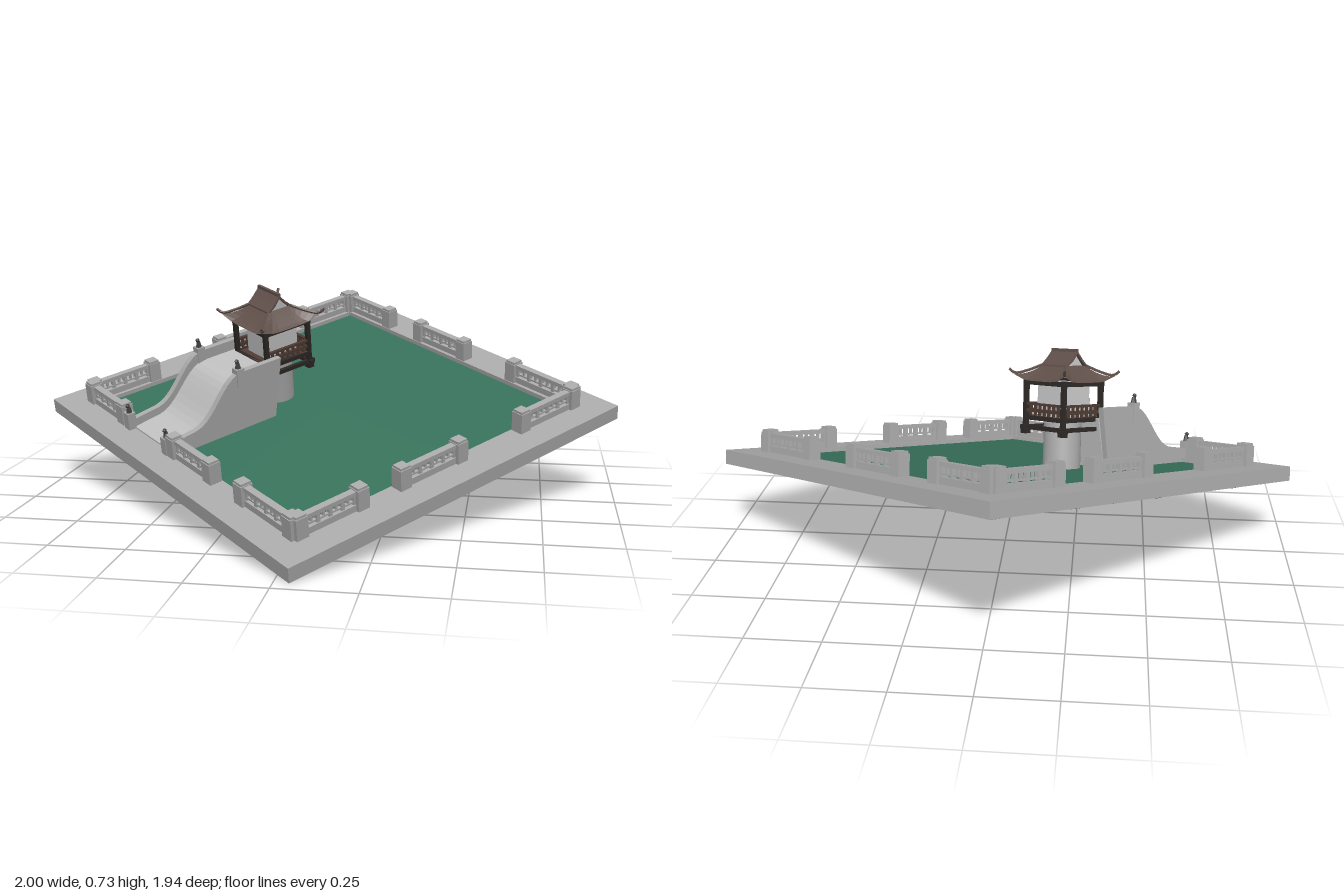
import * as THREE from 'three';

const mat = (name, color, side = THREE.FrontSide, flatShading = true) => {
  const m = new THREE.MeshStandardMaterial({ color, side, flatShading });
  m.name = name;
  return m;
};

export function createModel() {
  const stone = mat('stone', 0xa8a8a8, THREE.DoubleSide);
  const water = mat('water', 0x37705a, THREE.DoubleSide);
  const deckStone = mat('pale stone', 0xbcbcbc, THREE.DoubleSide, false);
  const wood = mat('dark wood', 0x2b2725);
  const railWood = mat('brown wood', 0x4d3a33);
  const tile = mat('roof tile', 0x62514b, THREE.DoubleSide);
  const plaster = mat('plaster', 0xc2c2c2);
  const figureStone = mat('dark stone', 0x45433f);

  const model = new THREE.Group();
  const site = new THREE.Group();
  site.name = 'tiltedGarden';
  site.rotation.set(0.276, -0.739, 0);
  site.position.y = 0.296;
  model.add(site);

  const add = (parent, name, geo, material, x = 0, y = 0, z = 0) => {
    const m = new THREE.Mesh(geo, material);
    m.name = name;
    m.position.set(x, y, z);
    parent.add(m);
    return m;
  };
  const box = (parent, name, material, w, h, d, x, y, z) =>
    add(parent, name, new THREE.BoxGeometry(w, h, d), material, x, y, z);
  const bend = (geo, rule) => {
    const p = geo.attributes.position, v = new THREE.Vector3();
    for (let i = 0; i < p.count; i++) {
      rule(v.fromBufferAttribute(p, i));
      p.setXYZ(i, v.x, v.y, v.z);
    }
    geo.computeVertexNormals();
    return geo;
  };

  // Square border, open underneath
  const R = 0.708, H = 0.575, q = Math.SQRT2;
  add(site, 'borderTop', new THREE.RingGeometry(H * q, R * q, 4, 1, Math.PI / 4).rotateX(-Math.PI / 2), stone, 0, 0.025);
  for (const [name, r] of [['borderOuterWall', R], ['borderInnerWall', H]])
    add(site, name, new THREE.CylinderGeometry(r * q, r * q, 0.05, 4, 1, true).rotateY(Math.PI / 4), stone);

  // Pond sheet with a wavy rim hidden below the border
  const wavySquare = v => {
    const r = Math.hypot(v.x, v.z);
    if (r < 0.01) return;
    const a = Math.atan2(v.z, v.x), c = Math.cos(a), s = Math.sin(a);
    const k = 0.655 / Math.max(Math.abs(c), Math.abs(s)) + 0.008 * Math.sin(23 * a) + 0.006 * Math.sin(37 * a + 1);
    v.x = c * k;
    v.z = s * k;
  };
  add(site, 'pondSurface', bend(new THREE.CircleGeometry(1, 128).rotateX(-Math.PI / 2), wavySquare), water, 0, 0.01);
  add(site, 'pondRim', bend(new THREE.CylinderGeometry(1, 1, 0.046, 128, 1, true), wavySquare), water, 0, -0.013);

  // Balustrades: two posts joined by a pierced panel
  const balustrade = (a, b, line, alongX) => {
    const g = new THREE.Group(), L = b - a;
    g.name = 'balustrade';
    for (const s of [-1, 1]) {
      box(g, 'balustradePost', stone, 0.044, 0.07, 0.044, s * (L / 2 - 0.012), 0.06, 0);
      box(g, 'postCap', stone, 0.038, 0.008, 0.038, s * (L / 2 - 0.012), 0.099, 0);
    }
    box(g, 'curb', stone, L, 0.022, 0.024, 0, 0.036, 0);
    box(g, 'handrail', stone, L, 0.014, 0.024, 0, 0.085, 0);
    box(g, 'midRail', stone, L, 0.006, 0.012, 0, 0.056, 0);
    for (let i = 0; i < 5; i++)
      box(g, 'baluster', stone, 0.012, 0.04, 0.016, (i / 4 - 0.5) * (L - 0.07), 0.062, 0);
    for (let i = 0; i < 4; i++)
      box(g, 'fretBar', stone, 0.007, 0.022, 0.01, ((i + 0.5) / 4 - 0.5) * (L - 0.07), 0.067, 0);
    const mid = (a + b) / 2;
    g.position.set(alongX ? mid : line, 0, alongX ? line : mid);
    if (!alongX) g.rotation.y = Math.PI / 2;
    site.add(g);
  };
  const E = 0.6;
  for (const [a, b] of [[-E, -0.34], [-0.2, 0.06], [0.34, E]]) balustrade(a, b, -E, false);
  for (const [a, b] of [[-E, -0.33], [-0.065, 0.2], [0.345, E]]) balustrade(a, b, E, false);
  for (const [a, b] of [[-E, -0.34], [-0.18, 0.08], [0.31, E]]) balustrade(a, b, -E, true);
  for (const [a, b] of [[-E, -0.36], [-0.06, 0.18], [0.33, E]]) balustrade(a, b, E, true);

  // Bridge: S-curved ramp between two solid parapets
  const bridge = new THREE.Group();
  bridge.name = 'bridge';
  bridge.position.x = -0.2;
  site.add(bridge);
  const profile = (end, low, high) => {
    const s = new THREE.Shape();
    s.moveTo(0.18, -0.005);
    s.lineTo(end, -0.005);
    s.lineTo(end, low);
    s.lineTo(0.5, low + 0.012);
    s.bezierCurveTo(0.42, low + 0.025, 0.38, high, 0.3, high);
    s.lineTo(0.14, high);
    s.closePath();
    return s;
  };
  const slab = (shape, width, x, name, material) => {
    const g = new THREE.ExtrudeGeometry(shape, { depth: width, bevelEnabled: false, curveSegments: 10 });
    add(bridge, name, g.translate(0, 0, -width / 2).rotateY(-Math.PI / 2), material, x);
  };
  slab(profile(0.6, 0.03, 0.185), 0.22, 0, 'bridgeDeck', deckStone);
  for (const s of [-1, 1]) {
    slab(profile(0.6, 0.058, 0.222), 0.022, s * 0.12, 'parapet', stone);
    // Parapet posts with small carved figures
    for (const [z, base, top] of [[0.61, 0.02, 0.085], [0.31, 0.17, 0.235]]) {
      box(bridge, 'parapetPost', stone, 0.03, top - base, 0.03, s * 0.12, (top + base) / 2, z);
      add(bridge, 'figureBody', new THREE.CylinderGeometry(0.006, 0.011, 0.02, 6), figureStone, s * 0.12, top + 0.01, z);
      add(bridge, 'figureHead', new THREE.IcosahedronGeometry(0.008, 0), figureStone, s * 0.12, top + 0.025, z + 0.003);
    }
  }

  // Pavilion on a round pillar
  const pav = new THREE.Group();
  pav.name = 'pavilion';
  pav.position.set(-0.2, 0, 0.08);
  site.add(pav);
  const pillarStone = mat('stone', 0xa8a8a8, THREE.FrontSide, false);
  pillarStone.name = 'pillar stone';
  add(pav, 'pillar', new THREE.CylinderGeometry(0.065, 0.065, 0.19, 32), pillarStone, 0, 0.07, 0);
  box(pav, 'floor', railWood, 0.19, 0.014, 0.19, 0, 0.18, 0);
  box(pav, 'room', plaster, 0.125, 0.12, 0.125, 0, 0.245, 0);
  const P = 0.09;
  for (let i = 0; i < 4; i++) {
    const side = new THREE.Group();
    side.name = 'pavilionSide';
    side.rotation.y = i * Math.PI / 2;
    pav.add(side);
    box(side, 'cornerPost', wood, 0.015, 0.185, 0.015, P, 0.22, P);
    box(side, 'postFoot', wood, 0.024, 0.022, 0.024, P, 0.136, P);
    box(side, 'lowerBeam', wood, 0.22, 0.014, 0.014, 0, 0.147, P);
    box(side, 'floorBeam', wood, 0.19, 0.014, 0.014, 0, 0.18, P);
    box(side, 'eaveBeam', wood, 0.2, 0.016, 0.014, 0, 0.302, P);
    if (i === 0) continue; // bridge entrance
    box(side, 'railTop', railWood, 0.18, 0.008, 0.012, 0, 0.228, P);
    box(side, 'railBottom', railWood, 0.18, 0.012, 0.01, 0, 0.206, P);
    for (let k = -3; k <= 3; k++)
      box(side, 'railBar', railWood, 0.008, 0.035, 0.008, k * 0.022, 0.208, P);
  }

  // Concave lower roof with lifted corners
  const skirt = bend(new THREE.CylinderGeometry(1, 1, 1, 32, 5, true), v => {
    const t = v.y + 0.5, m = Math.max(Math.abs(v.x), Math.abs(v.z));
    const corner = Math.min(Math.abs(v.x), Math.abs(v.z)) / m;
    const flare = 1 + 0.08 * corner ** 6 * (1 - t);
    v.x = v.x / m * THREE.MathUtils.lerp(0.116, 0.055, t) * flare;
    v.z = v.z / m * THREE.MathUtils.lerp(0.116, 0.045, t) * flare;
    v.y = 0.308 + 0.055 * t ** 1.35 + 0.022 * corner ** 5 * (1 - t) ** 2;
  });
  add(pav, 'lowerRoof', skirt, tile);

  // Gabled upper roof
  const gable = new THREE.Shape([[-0.043, 0.355], [0.043, 0.355], [0, 0.403]].map(p => new THREE.Vector2(...p)));
  add(pav, 'gableWall', new THREE.ExtrudeGeometry(gable, { depth: 0.1, bevelEnabled: false })
    .translate(0, 0, -0.05).rotateY(Math.PI / 2), plaster);
  const cover = new THREE.Shape([[-0.05, 0.357], [-0.022, 0.377], [0, 0.403], [0.022, 0.377], [0.05, 0.357],
    [0.05, 0.363], [0.024, 0.386], [0, 0.412], [-0.024, 0.386], [-0.05, 0.363]].map(p => new THREE.Vector2(...p)));
  add(pav, 'upperRoof', new THREE.ExtrudeGeometry(cover, { depth: 0.124, bevelEnabled: false })
    .translate(0, 0, -0.062).rotateY(Math.PI / 2), tile);
  box(pav, 'ridge', tile, 0.12, 0.01, 0.01, 0, 0.414, 0);

  // Hip ribs sweeping up at the corners
  for (const sx of [-1, 1]) for (const sz of [-1, 1]) {
    const path = new THREE.CatmullRomCurve3([[0.055, 0.364, 0.045], [0.09, 0.342, 0.086], [0.12, 0.332, 0.12], [0.134, 0.346, 0.134]]
      .map(([x, y, z]) => new THREE.Vector3(sx * x, y, sz * z)));
    add(pav, 'hipRib', new THREE.TubeGeometry(path, 8, 0.005, 5), tile);
  }
  return model;
}
